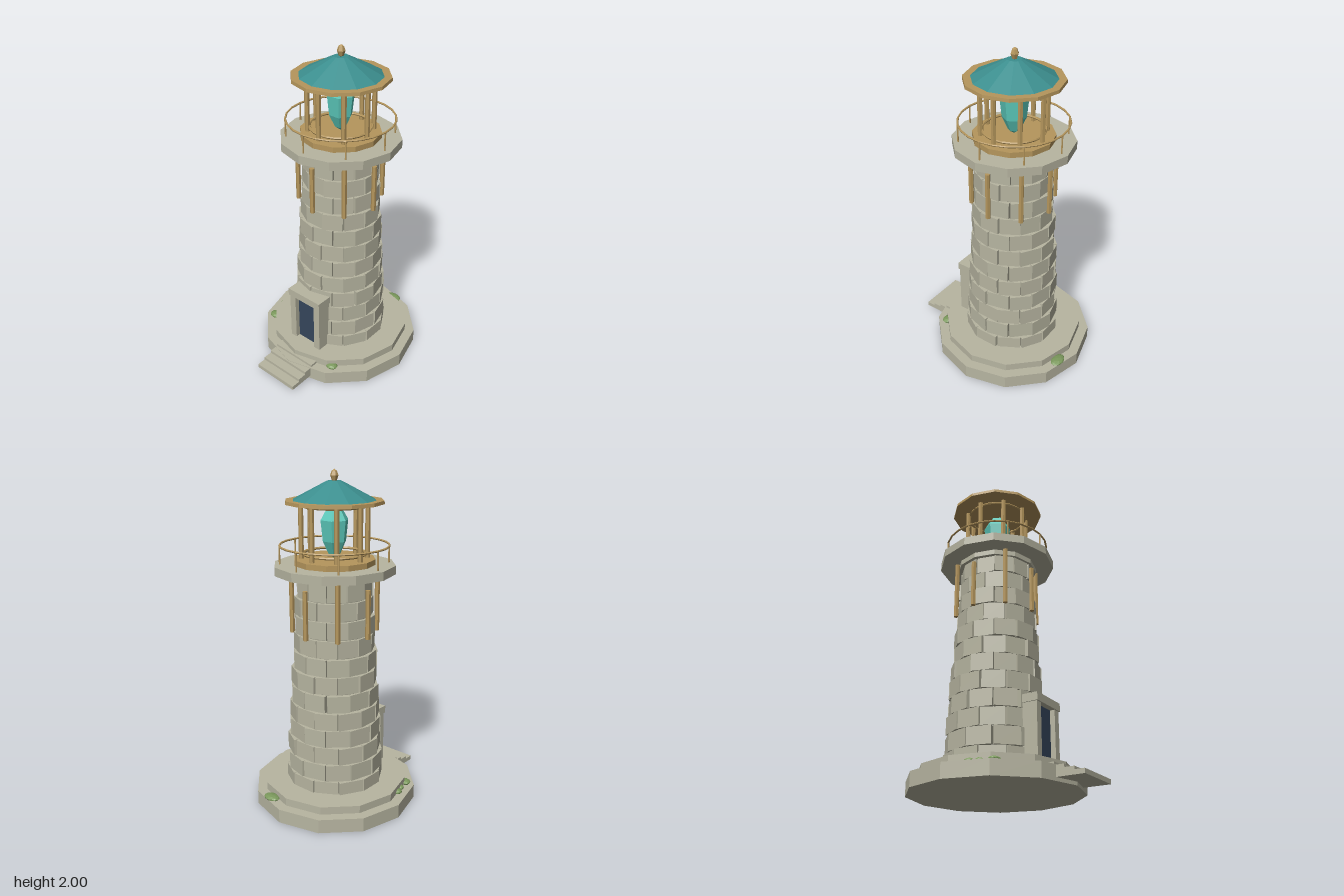
import * as THREE from 'three';

const mat = (name, color) => {
  const m = new THREE.MeshStandardMaterial({ color, flatShading: true });
  m.name = name;
  return m;
};

export function createModel() {
  const stone = mat('stone', 0xb7b5a1);
  const mortar = mat('mortar', 0x969484);
  const brass = mat('brass', 0xb5965c);
  const teal = mat('roofTeal', 0x3c8f8f);
  const crystalMat = mat('crystal', 0x5cc9bb);
  const navy = mat('doorNavy', 0x35465c);
  const moss = mat('moss', 0x7b995c);

  const model = new THREE.Group();
  model.name = 'lighthouse';
  // Everything round shares one axis, set back to leave room for the steps
  const tower = new THREE.Group();
  tower.name = 'tower';
  tower.position.z = -0.06;
  model.add(tower);

  const add = (parent, name, geo, material, x = 0, y = 0, z = 0) => {
    const m = new THREE.Mesh(geo, material);
    m.name = name;
    m.position.set(x, y, z);
    parent.add(m);
    return m;
  };
  const drum = (name, r0, r1, y0, y1, material, sides = 12) =>
    add(tower, name, new THREE.CylinderGeometry(r1, r0, y1 - y0, sides), material, 0, (y0 + y1) / 2);
  const post = (name, angle, radius, r, y0, y1) =>
    add(tower, name, new THREE.CylinderGeometry(r, r, y1 - y0, 6), brass,
      Math.sin(angle) * radius, (y0 + y1) / 2, Math.cos(angle) * radius);
  const hoop = (name, radius, tube, y) =>
    add(tower, name, new THREE.TorusGeometry(radius, tube, 6, 24), brass, 0, y).rotation.x = Math.PI / 2;
  const block = (name, x0, x1, y0, y1, z0, z1, material) =>
    add(model, name, new THREE.BoxGeometry(x1 - x0, y1 - y0, z1 - z0), material,
      (x0 + x1) / 2, (y0 + y1) / 2, (z0 + z1) / 2);

  // Stepped plinth
  drum('lowerPlinth', 0.5, 0.5, 0, 0.085, stone);
  drum('upperPlinth', 0.44, 0.44, 0.085, 0.132, stone);

  // Tapered core with staggered courses of stone blocks
  drum('towerCore', 0.272, 0.202, 0.13, 1.4, mortar, 24);
  let seed = 7;
  const rand = () => (seed = (seed * 16807) % 2147483647) / 2147483647;
  const rows = 12, step = 0.1075, count = 12;
  for (let row = 0; row < rows; row++) {
    const y = 0.104 + step * (row + 0.5);
    const r = 0.288 - 0.07 * row / (rows - 1);
    for (let i = 0; i < count; i++) {
      const a = (i + (row % 2) / 2) / count * Math.PI * 2 + (rand() - 0.5) * 0.03;
      const face = r + (rand() - 0.5) * 0.012;
      const width = 2 * r * Math.tan(Math.PI / count) * (0.9 + rand() * 0.07);
      const b = add(tower, 'towerBlock', new THREE.BoxGeometry(width, step - 0.006, 0.05), stone,
        Math.sin(a) * (face - 0.025), y, Math.cos(a) * (face - 0.025));
      b.rotation.y = a;
    }
  }

  // Gallery
  drum('galleryNeck', 0.245, 0.245, 1.39, 1.42, stone);
  drum('galleryDeck', 0.355, 0.355, 1.42, 1.47, stone);
  hoop('galleryRail', 0.315, 0.006, 1.578);

  // Railing posts, hanging bars and lantern columns share eight directions
  for (let i = 0; i < 8; i++) {
    const a = i * Math.PI / 4;
    post('railPost', a, 0.315, 0.005, 1.47, 1.578);
    post('hangingBar', a, 0.25, 0.015, 1.063, i % 2 ? 1.42 : 1.35);
    post('lanternColumn', a, 0.19, 0.015, 1.49, 1.82);
  }

  // Lantern room
  drum('lanternFloor', 0.238, 0.238, 1.47, 1.502, brass);
  hoop('lowerLanternHoop', 0.18, 0.008, 1.53);
  hoop('upperLanternHoop', 0.18, 0.008, 1.8);
  const crystalProfile = [[0, 1.5], [0.035, 1.525], [0.07, 1.6], [0.083, 1.72], [0.045, 1.785], [0, 1.793]]
    .map(([x, y]) => new THREE.Vector2(x, y));
  add(tower, 'lampCrystal', new THREE.LatheGeometry(crystalProfile, 6), crystalMat).rotation.y = Math.PI / 6;

  // Roof
  drum('roofEave', 0.285, 0.283, 1.813, 1.832, brass);
  drum('roof', 0.24, 0.042, 1.832, 1.936, teal);
  const finialProfile = [[0, 1.93], [0.014, 1.937], [0.024, 1.965], [0.015, 1.99], [0, 2]]
    .map(([x, y]) => new THREE.Vector2(x, y));
  add(tower, 'finial', new THREE.LatheGeometry(finialProfile, 6), brass);

  // Doorway
  block('door', -0.076, 0.076, 0.132, 0.456, 0.2, 0.25, navy);
  for (const s of [-1, 1])
    block('doorJamb', s * 0.098 - 0.022, s * 0.098 + 0.022, 0.132, 0.456, 0.17, 0.28, stone);
  block('doorLintel', -0.126, 0.126, 0.455, 0.502, 0.17, 0.287, stone);

  // Entrance steps
  for (let i = 0; i < 4; i++)
    block('entranceStep', -0.15, 0.15, 0.02, 0.046 + i * 0.018, 0.3, 0.56 - i * 0.0565, stone);

  // Moss clumps on the plinth ledge: x, z, half width, half depth
  const clumps = [[0.125, -0.495, 0.055, 0.038], [-0.41, 0.05, 0.026, 0.028], [-0.39, 0.1, 0.026, 0.025],
    [-0.37, 0.175, 0.04, 0.035], [0.24, 0.3, 0.038, 0.034]];
  for (const [x, z, w, d] of clumps)
    add(model, 'mossClump', new THREE.IcosahedronGeometry(1, 1), moss, x, 0.093, z).scale.set(w, 0.016, d);

  return model;
}
